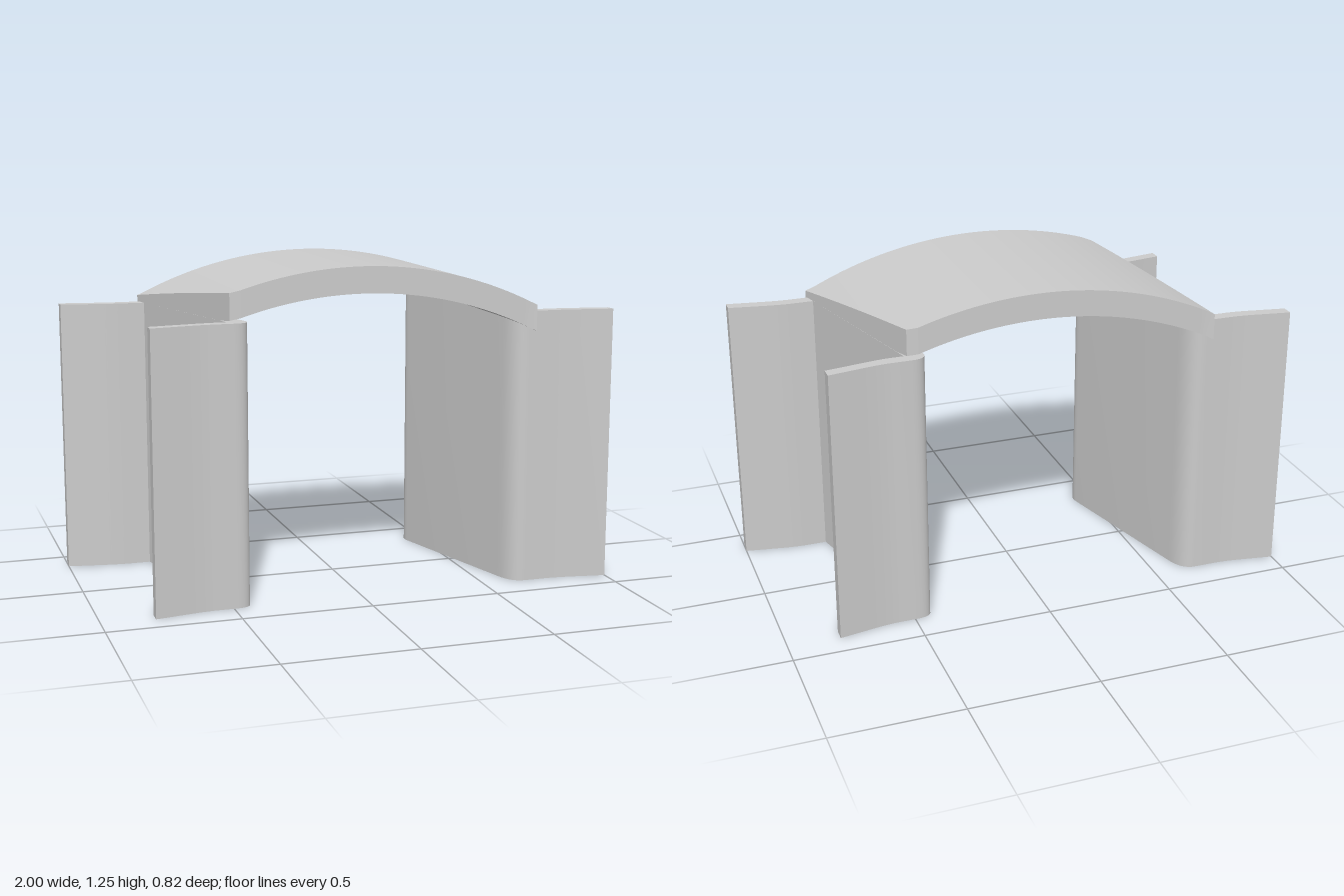
import * as THREE from 'three';
import { toCreasedNormals } from 'three/addons/utils/BufferGeometryUtils.js';

const WALL_HEIGHT = 1.06;
const SKEW = 0.263; // sideways shift of the walls per unit of z
const material = new THREE.MeshStandardMaterial({ color: 0xcccccc });

// Skewed wall with a curved wing at each end, drawn in plan (x, z) and raised
function abutmentGeometry() {
  const plan = new THREE.Shape();
  // front wing, front side
  plan.moveTo(1, 0.405);
  plan.lineTo(0.86, 0.382);
  plan.quadraticCurveTo(0.8, 0.373, 0.76, 0.373);
  plan.lineTo(0.67, 0.373);
  // rounded corner into the inner wall face
  plan.quadraticCurveTo(0.613, 0.373, 0.592, 0.285);
  plan.lineTo(0.434, -0.315);
  // rounded corner into the back wing
  plan.quadraticCurveTo(0.418, -0.378, 0.49, -0.378);
  plan.lineTo(0.56, -0.378);
  plan.quadraticCurveTo(0.6, -0.378, 0.66, -0.388);
  plan.lineTo(0.8, -0.412);
  plan.lineTo(0.8, -0.366);
  plan.lineTo(0.65, -0.342);
  plan.quadraticCurveTo(0.6, -0.333, 0.56, -0.331);
  plan.lineTo(0.504, -0.331);
  // outer wall face
  plan.lineTo(0.676, 0.326);
  plan.lineTo(0.76, 0.326);
  plan.quadraticCurveTo(0.8, 0.326, 0.86, 0.336);
  plan.lineTo(1, 0.36);
  plan.closePath();
  const geometry = new THREE.ExtrudeGeometry(plan, {
    depth: WALL_HEIGHT, bevelEnabled: false, curveSegments: 8,
  });
  geometry.rotateX(Math.PI / 2); // plan y becomes z
  geometry.translate(0, WALL_HEIGHT, 0);
  return toCreasedNormals(geometry, 0.5);
}

// Arched slab with skewed ends: a subdivided box bent along a circular arc
function deckGeometry() {
  const radius = 1.525, halfSpan = 0.59, thickness = 0.1, crown = 1.25;
  const geometry = new THREE.BoxGeometry(2, 1, 2, 40, 1, 12);
  const p = geometry.attributes.position;
  for (let i = 0; i < p.count; i++) {
    const u = p.getX(i), w = p.getZ(i);
    const corner = u * Math.sign(w);
    // pointed corners stick out a little, blunt corners are cut back
    const edge = corner > 0.999 ? 0.385 : corner < -0.999 ? 0.35 : 0.375;
    const z = w * edge;
    const x = u * halfSpan + SKEW * z;
    const top = crown - radius + Math.sqrt(radius * radius - x * x);
    p.setXYZ(i, x, top - (0.5 - p.getY(i)) * thickness, z);
  }
  return toCreasedNormals(geometry, 0.5);
}

export function createModel() {
  const model = new THREE.Group();
  model.name = 'archBridge';

  // Two abutments, each the other turned half round
  const wall = abutmentGeometry();
  for (const [name, turn] of [['leftAbutment', 0], ['rightAbutment', Math.PI]]) {
    const mesh = new THREE.Mesh(wall, material);
    mesh.name = name;
    mesh.rotation.y = turn;
    model.add(mesh);
  }

  // Arched deck resting on the walls
  const deck = new THREE.Mesh(deckGeometry(), material);
  deck.name = 'archedDeck';
  model.add(deck);
  return model;
}
